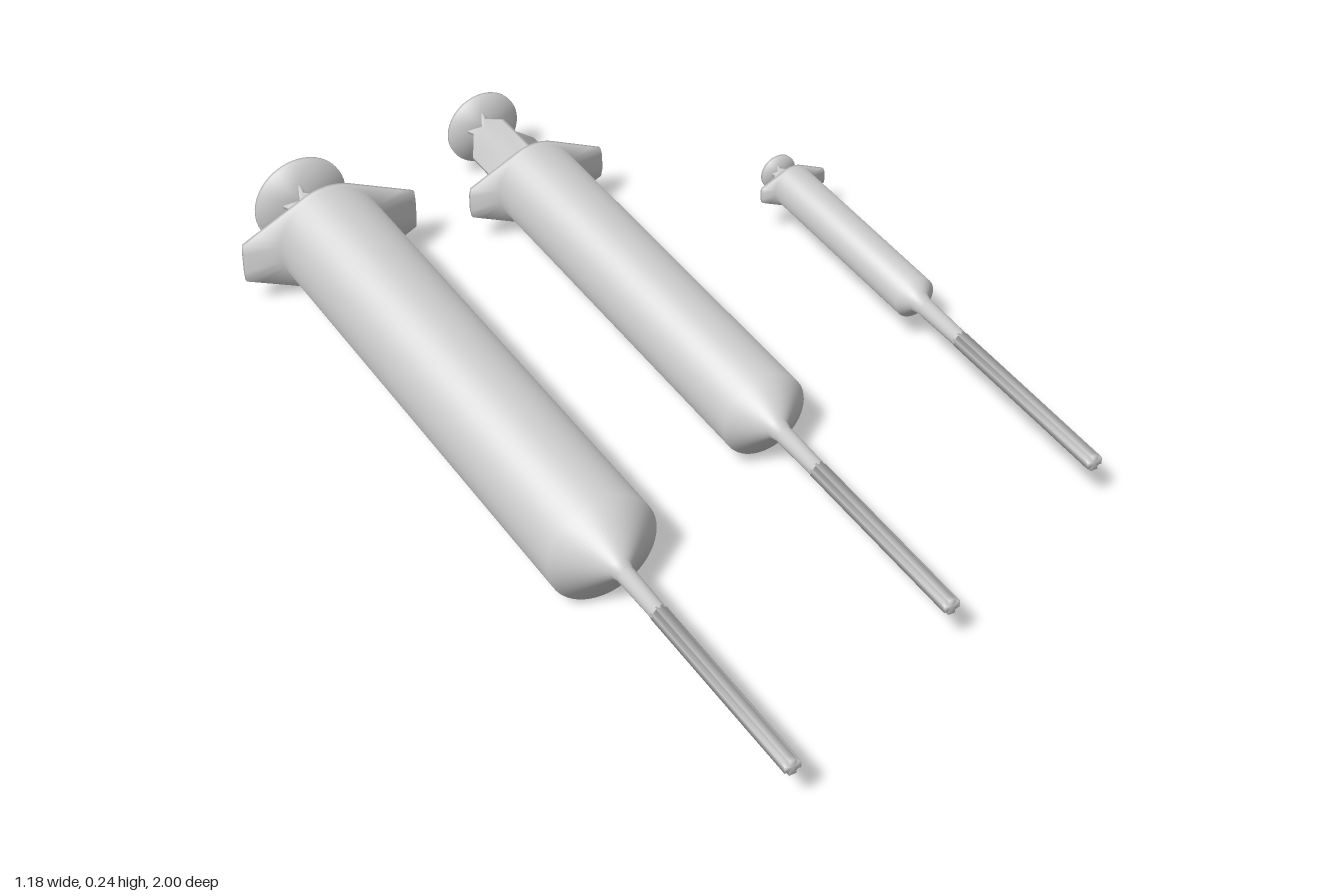
import * as THREE from 'three';

const material = new THREE.MeshStandardMaterial({ color: 0xcccccc, side: THREE.DoubleSide });
const AXIS_Y = 0.121;
const SIDES = 56;

// Soft normals over shared vertices, each face weighted by its corner angle
function smoothNormals(geometry) {
  const pos = geometry.attributes.position;
  const index = geometry.index.array;
  const sums = Array.from({ length: pos.count }, () => new THREE.Vector3());
  for (let f = 0; f < index.length; f += 3) {
    const ids = [index[f], index[f + 1], index[f + 2]];
    const p = ids.map((i) => new THREE.Vector3().fromBufferAttribute(pos, i));
    const normal = new THREE.Triangle(...p).getNormal(new THREE.Vector3());
    ids.forEach((id, k) => {
      const u = p[(k + 1) % 3].clone().sub(p[k]);
      const v = p[(k + 2) % 3].clone().sub(p[k]);
      sums[id].addScaledVector(normal, u.angleTo(v));
    });
  }
  const normals = sums.flatMap((n) => n.normalize().toArray());
  geometry.setAttribute('normal', new THREE.Float32BufferAttribute(normals, 3));
  return geometry;
}

// Skin over rings of [x, y] points, listed from back to front as { z, points }
function loft(name, rings, capped = true) {
  const n = rings[0].points.length;
  const last = (rings.length - 1) * n;
  const positions = rings.flatMap(({ z, points }) => points.flatMap(([x, y]) => [x, y, z]));
  const index = [];
  for (let j = 0; j < n; j++) {
    const k = (j + 1) % n;
    for (let i = 0; i < last; i += n) {
      index.push(i + j, i + k, i + n + k, i + j, i + n + k, i + n + j);
    }
    if (capped) index.push(last + n, k, j, last + n + 1, last + j, last + k);
  }
  if (capped) positions.push(0, 0, rings[0].z, 0, 0, rings[rings.length - 1].z);
  const g = new THREE.BufferGeometry();
  g.setAttribute('position', new THREE.Float32BufferAttribute(positions, 3));
  g.setIndex(index);
  const mesh = new THREE.Mesh(smoothNormals(g), material);
  mesh.name = name;
  return mesh;
}

// Closed outline from a rule giving the radius at each angle
function polar(radiusAt) {
  return Array.from({ length: SIDES }, (_, i) => {
    const a = (i / SIDES) * Math.PI * 2;
    const r = radiusAt(a);
    return [r * Math.cos(a), r * Math.sin(a)];
  });
}

const circle = (z, r) => ({ z, points: polar(() => r) });

// Finger grip outline: round middle, straight tapers and flat ends
function grip(z, w, h) {
  const tangent = THREE.MathUtils.degToRad(65);
  const points = polar((angle) => {
    const a = Math.acos(Math.min(1, Math.abs(Math.cos(angle))));
    return a > tangent ? h : Math.min(w / Math.cos(a), h / Math.cos(a - tangent));
  });
  return { z, points };
}

// Cross section of the plunger's four blades
function cross(z, w) {
  const t = 0.003;
  const points = [];
  for (let q = 0; q < 4; q++) {
    const c = Math.round(Math.cos((q * Math.PI) / 2));
    const s = Math.round(Math.sin((q * Math.PI) / 2));
    for (const [x, y] of [[w, -t], [w, t], [t, t]]) points.push([x * c - y * s, x * s + y * c]);
  }
  return { z, points };
}

// Sleeve section with four broad ribs
function ribbed(z) {
  const points = [];
  for (let q = 0; q < 4; q++) {
    for (const [deg, r] of [[-25, 0.018], [25, 0.018], [32, 0.0125], [58, 0.0125]]) {
      const a = THREE.MathUtils.degToRad(q * 90 + deg);
      points.push([r * Math.cos(a), r * Math.sin(a)]);
    }
  }
  return { z, points };
}

function syringe(s) {
  const group = new THREE.Group();
  group.name = s.name;
  group.position.set(s.x, AXIS_Y, 0);
  const gripFront = s.back + 0.0035;
  const sleeveBack = s.hub + 0.115;
  group.add(
    // Finger grip, barrel, shoulder and nozzle in one soft skin
    loft('barrel', [
      grip(s.back - 0.0035, s.gripW, s.gripH),
      grip(gripFront, s.gripW, s.gripH),
      circle(gripFront, s.r),
      circle(s.front, s.r),
      circle(s.neck, 0.022),
      circle(s.hub, 0.016),
    ]),
    loft('needleHub', [circle(s.hub, 0.0185), circle(s.hub + 0.12, 0.0165)], false),
    loft('needleSheath', [ribbed(sleeveBack), ribbed(s.tip - 0.01), ribbed(s.tip)]),
    // Plunger rod narrowing to a waist below the thumb rest
    loft('plungerRod', [
      cross(s.end + 0.003, s.waist * 1.25),
      cross(s.waistZ, s.waist),
      cross(s.taper, s.bladeW),
      cross(s.back, s.bladeW),
    ], false),
    loft('thumbRest', [circle(s.end, s.discR), circle(s.end + 0.006, s.discR)])
  );
  return group;
}

export function createModel() {
  const model = new THREE.Group();
  model.name = 'syringes';
  const sizes = [
    { name: 'largeSyringe', x: -0.399, r: 0.114, back: -0.795, front: 0.345, neck: 0.415, hub: 0.435, tip: 1.0,
      gripW: 0.194, gripH: 0.121, taper: -0.81, waistZ: -0.92, end: -0.943, bladeW: 0.092, waist: 0.033, discR: 0.102 },
    { name: 'mediumSyringe', x: 0.057, r: 0.09, back: -0.753, front: 0.16, neck: 0.212, hub: 0.238, tip: 0.8,
      gripW: 0.156, gripH: 0.096, taper: -0.9, waistZ: -0.98, end: -1.0, bladeW: 0.073, waist: 0.03, discR: 0.082 },
    { name: 'smallSyringe', x: 0.513, r: 0.045, back: -0.47, front: -0.01, neck: 0.008, hub: 0.037, tip: 0.6,
      gripW: 0.077, gripH: 0.047, taper: -0.475, waistZ: -0.52, end: -0.531, bladeW: 0.037, waist: 0.014, discR: 0.04 },
  ];
  for (const s of sizes) model.add(syringe(s));
  return model;
}
